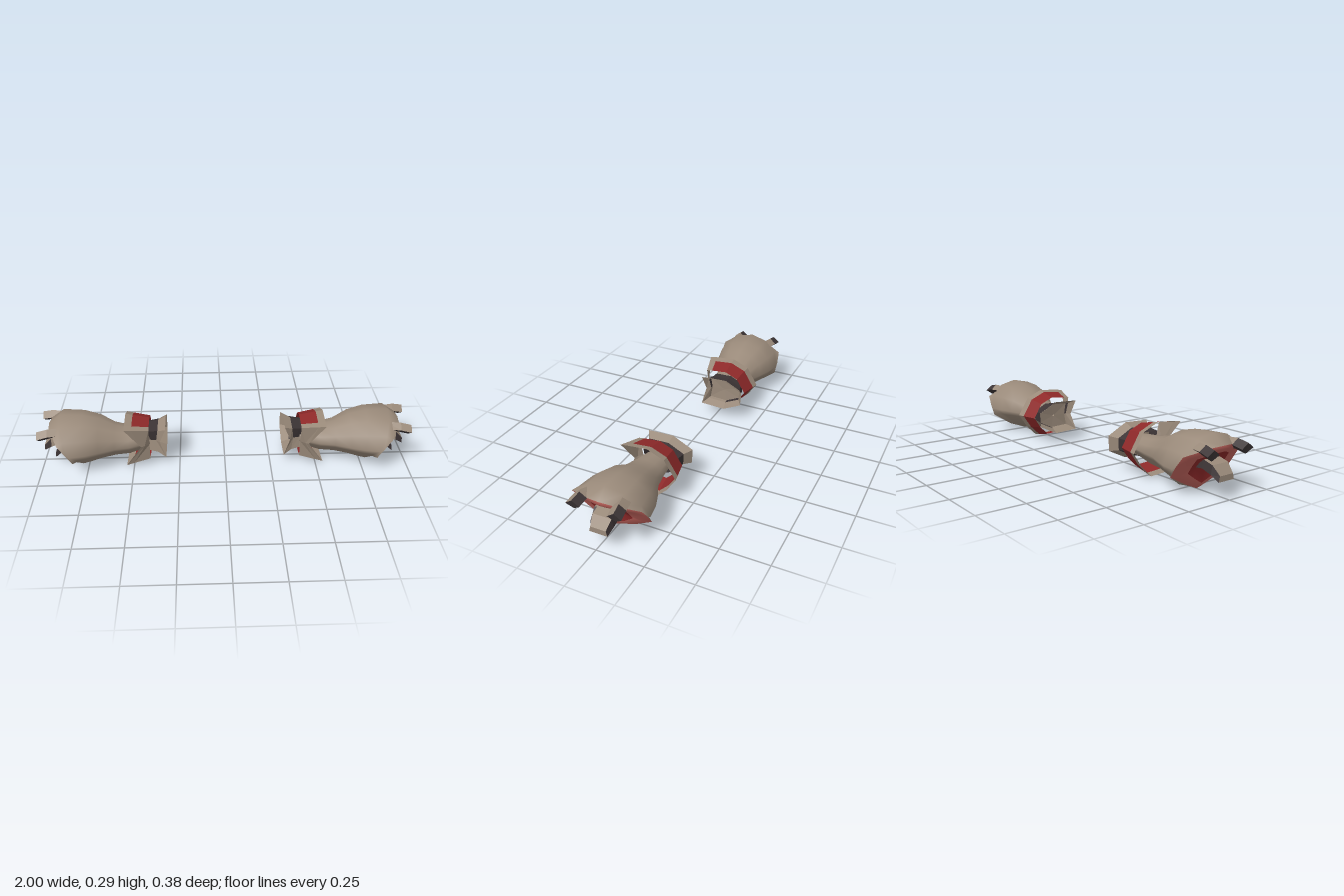
import * as THREE from 'three';

const mat = (name, color) => {
  const m = new THREE.MeshStandardMaterial({ color, side: THREE.DoubleSide });
  m.name = name;
  return m;
};
const tan = mat('tan hide', 0x9a8a7a);
const red = mat('dark red', 0x8e2929);
const pink = mat('pale red', 0xc0635c);
const charcoal = mat('charcoal', 0x3c3435);

// Skin a list of equal-length closed rings of [x, y, z]; pick(i, j) chooses the material of each quad.
function loft(name, side, rings, { pick = () => tan, flat = false, cap = null } = {}) {
  const n = rings[0].length, pos = rings.flat().flatMap(([x, y, z]) => [x * side, y, z]);
  const faces = new Map();
  const add = (m, a, b, c) => {
    if (!faces.has(m)) faces.set(m, []);
    faces.get(m).push(...(side > 0 ? [a, b, c] : [a, c, b]));
  };
  for (let i = 0; i < rings.length - 1; i++) {
    for (let j = 0; j < n; j++) {
      const k = (j + 1) % n, a = i * n + j, b = i * n + k;
      add(pick(i, j), a, a + n, b);
      add(pick(i, j), b, a + n, b + n);
    }
  }
  // close the last ring
  const last = (rings.length - 1) * n;
  if (cap) for (let j = 1; j < n - 1; j++) add(cap, last, last + j + 1, last + j);

  let g = new THREE.BufferGeometry();
  g.setAttribute('position', new THREE.Float32BufferAttribute(pos, 3));
  const index = [], mats = [...faces.keys()];
  mats.forEach((m, i) => {
    g.addGroup(index.length, faces.get(m).length, i);
    index.push(...faces.get(m));
  });
  g.setIndex(index);
  if (flat) {
    const groups = g.groups;
    g = g.toNonIndexed();
    g.groups = groups;
  }
  g.computeVertexNormals();
  const mesh = new THREE.Mesh(g, mats);
  mesh.name = name;
  return mesh;
}

// Twelve-point oval with a keeled underside, leaning from xBottom to xTop.
const oval = ([xBottom, xTop, yc, up, down, rz, zc]) => Array.from({ length: 12 }, (_, j) => {
  const a = j * Math.PI / 6, c = -Math.cos(a);
  return [xBottom + (xTop - xBottom) * (c + 1) / 2, yc + (c > 0 ? c * up : -c * c * down), zc + rz * Math.sin(a)];
});

// Four-sided finger from sections [x, y, z, halfHeight, halfWidth].
const boxSection = ([x, y, z, h, w]) =>
  [[x, y - h, z - w], [x, y - h, z + w], [x, y + h, z + w * 0.85], [x, y + h, z - w * 0.85]];
const diamondSection = ([x, y, z, h, w]) =>
  [[x - 0.012, y - h, z], [x, y, z + w], [x + 0.003, y + h, z], [x, y, z - w]];
const finger = (name, side, section, sections, pick, cap) =>
  loft(name, side, sections.map(section), { pick, flat: true, cap });

function buildArm(side) {
  const arm = new THREE.Group();
  arm.name = side > 0 ? 'leftArm' : 'rightArm';

  // Angular rim of the palm, set on a slant and curving back at the sides
  const half = [[0.1, 0.048], [0.19, 0.097], [0.192, 0.15], [0.185, 0.205], [0.06, 0.24]];
  const outline = [[0, 0.003], ...half, [0, 0.242], ...half.map(([z, y]) => [-z, y]).reverse()];
  const rim = outline.map(([z, y]) => [0.79 + y * 0.66 - 0.04 * (z / 0.19) ** 2, y, z]);

  // Forearm swelling from the neck to the palm
  arm.add(loft('forearm', side, [
    ...[
      [0.41, 0.41, 0.135, 0.06, 0.055, 0.072, -0.015],
      [0.52, 0.52, 0.13, 0.07, 0.085, 0.095, 0],
      [0.6, 0.6, 0.13, 0.09, 0.09, 0.11, 0],
      [0.68, 0.68, 0.135, 0.128, 0.108, 0.15, 0],
      [0.73, 0.77, 0.137, 0.149, 0.124, 0.178, 0],
      [0.765, 0.89, 0.137, 0.154, 0.134, 0.192, 0],
    ].map(oval),
    rim,
  ]));

  // Palm: pale swollen border around a dark hollow
  const inset = (sz, sy, bulge) => rim.map(([x, y, z]) =>
    [0.8725 + (x - 0.8725) * sy + bulge, 0.125 + (y - 0.125) * sy, z * sz]);
  const hollowEdge = inset(0.55, 0.72, 0.008);
  arm.add(loft('palmBorder', side, [rim, inset(0.8, 0.88, 0.012), hollowEdge], { pick: () => pink }));
  arm.add(loft('palmCentre', side, [hollowEdge, inset(0.3, 0.35, -0.015), inset(0.01, 0.01, -0.02)], { pick: () => red }));

  // Two upper claws with a diamond section
  for (const s of [-1, 1]) {
    arm.add(finger('upperClaw', side, diamondSection, [
      [0.86, 0.235, s * 0.085, 0.025, 0.038],
      [0.94, 0.235, s * 0.102, 0.027, 0.036],
      [0.997, 0.223, s * 0.108, 0.027, 0.037],
    ], (i, j) => (j === 0 || j === 3 || (i === 1 && j === 2) ? charcoal : tan), charcoal));
  }

  // Broad middle finger curling down, with a short thumb beside it
  arm.add(finger('middleFinger', side, boxSection, [
    [0.82, 0.145, -0.01, 0.02, 0.05],
    [0.89, 0.156, -0.01, 0.02, 0.058],
    [0.945, 0.14, -0.01, 0.022, 0.058],
    [0.985, 0.105, -0.01, 0.014, 0.048],
  ], (i, j) => (j === 2 || (j === 1 && i < 2) ? tan : charcoal), tan));
  arm.add(finger('thumb', side, boxSection, [
    [0.82, 0.13, 0.05, 0.016, 0.018],
    [0.88, 0.125, 0.057, 0.02, 0.018],
    [0.922, 0.08, 0.056, 0.013, 0.018],
  ], (i, j) => (j === 2 && i === 0 ? tan : charcoal), charcoal));

  // Flared cuff with a tan edge, cut back to a deep notch at the front
  const cuff = [[0.13, 0.262], [0.09, 0.268], [-0.02, 0.278], [-0.11, 0.24], [-0.172, 0.14],
    [-0.12, 0.065], [-0.06, 0.008], [0.06, 0.016], [0.098, 0.02], [0.105, 0.14]];
  const notch = cuff.length - 1;
  const cuffRing = (x, s, notchX) => cuff.map(([z, y], j) =>
    [j === notch ? notchX : x, 0.14 + (y - 0.14) * s, -0.03 + (z + 0.03) * s]);
  arm.add(loft('cuff', side, [cuffRing(0.41, 0.8, 0.41), cuffRing(0.5, 0.94, 0.435), cuffRing(0.538, 1, 0.455)], {
    flat: true,
    pick: (i, j) => (i === 1 || j === 0 || j >= notch - 2 ? tan : red),
  }));

  // Wrist flaring to an open end, notched at the front
  const wrist = [[0.09, 0.235], [-0.05, 0.24], [-0.16, 0.185], [-0.155, 0.105], [-0.05, 0.055], [0.09, 0.062], [0.075, 0.15]];
  const wristRing = (x, s, cut = 0) => wrist.map(([z, y], j) =>
    [x + (j === 6 ? cut : 0), 0.147 + (y - 0.147) * s, -0.025 + (z + 0.025) * s]);
  arm.add(loft('wrist', side, [wristRing(0.45, 0.68), wristRing(0.41, 0.7), wristRing(0.365, 0.78, 0.01), wristRing(0.322, 1, 0.033)], {
    flat: true,
    pick: (i, j) => (i < 2 && [0, 1, 2, 3, 6].includes(j) ? charcoal : tan),
  }));
  arm.add(loft('wristInside', side, [wristRing(0.385, 0.74), wristRing(0.39, 0.05)], { flat: true }));
  return arm;
}

export function createModel() {
  const model = new THREE.Group();
  model.name = 'clawedArms';
  model.add(buildArm(1), buildArm(-1));
  return model;
}
